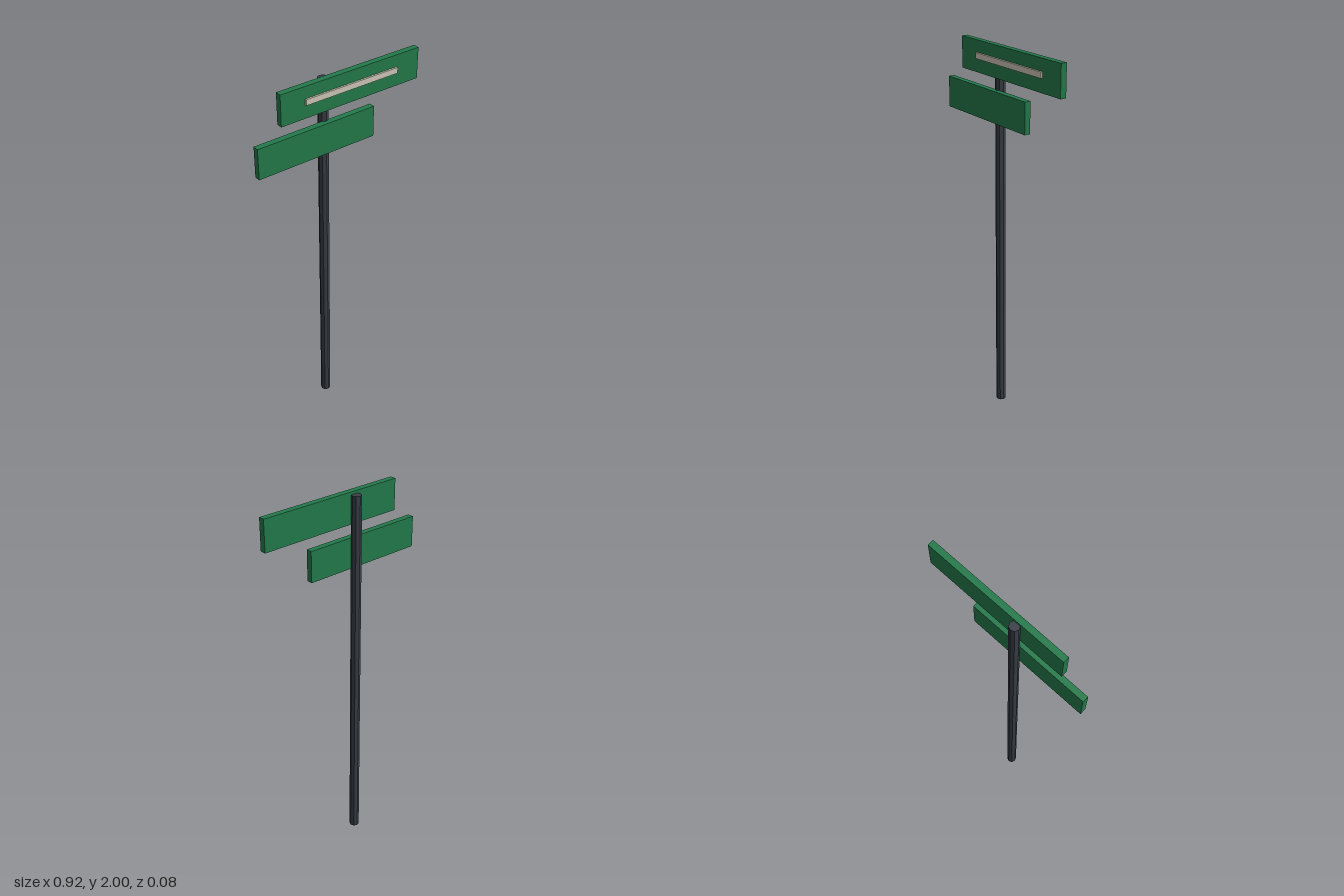
import * as THREE from 'three';

export function createModel() {
  const group = new THREE.Group();
  const material = (name, color) => {
    const m = new THREE.MeshStandardMaterial({ color });
    m.name = name;
    return m;
  };
  const green = material('sign green', 0x237a4b);
  const cream = material('cream', 0xcfc7b8);
  const darkGrey = material('dark grey', 0x3a4047);
  darkGrey.flatShading = true;

  // Box given by its minimum and maximum corners
  const addBox = (name, mat, [x0, y0, z0], [x1, y1, z1]) => {
    const mesh = new THREE.Mesh(new THREE.BoxGeometry(x1 - x0, y1 - y0, z1 - z0), mat);
    mesh.position.set((x0 + x1) / 2, (y0 + y1) / 2, (z0 + z1) / 2);
    mesh.name = name;
    group.add(mesh);
  };

  // Eight-sided post
  const height = 1.986;
  const post = new THREE.Mesh(new THREE.CylinderGeometry(0.0263, 0.0263, height, 8), darkGrey);
  post.position.set(-0.067, height / 2, -0.0155);
  post.name = 'post';
  group.add(post);

  // Two offset sign boards on the front of the post
  addBox('upperSign', green, [-0.331, 1.838, 0], [0.462, 2, 0.032]);
  addBox('lowerSign', green, [-0.462, 1.608, 0], [0.199, 1.77, 0.032]);

  // Pale strip on the upper board
  addBox('signStrip', cream, [-0.199, 1.908, 0.032], [0.33, 1.938, 0.0415]);

  return group;
}
